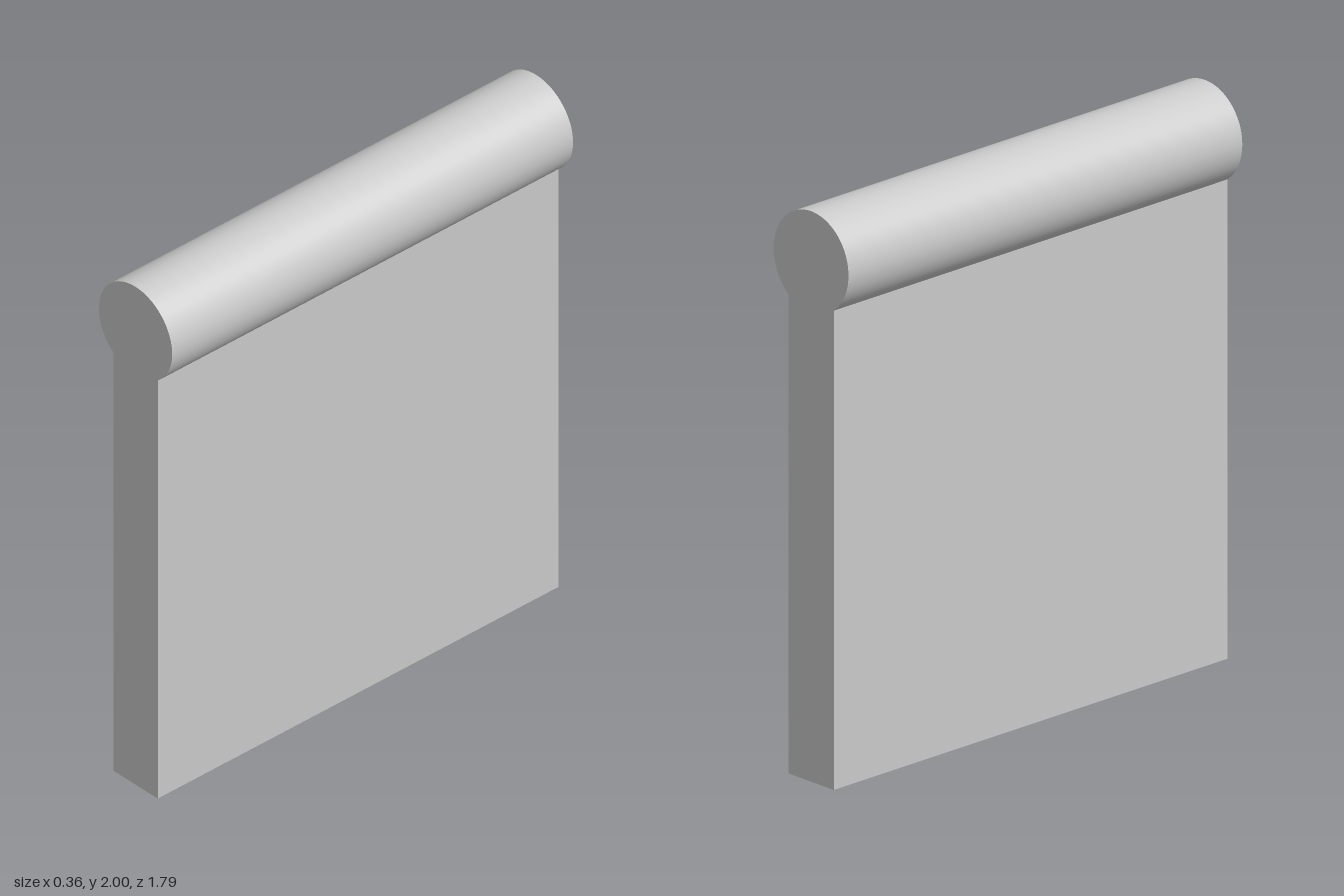
import * as THREE from 'three';

const HALF_WIDTH = 0.108; // panel
const RADIUS = 0.178; // rounded cap
const DEPTH = 1.786;
const CAP_Y = 2 - RADIUS;

export function createModel() {
  const group = new THREE.Group();
  group.name = 'cappedWall';

  // Keyhole cross-section: upright panel flowing into a round cap
  const angle = Math.acos(HALF_WIDTH / RADIUS);
  const profile = new THREE.Shape();
  profile.moveTo(-HALF_WIDTH, 0);
  profile.lineTo(HALF_WIDTH, 0);
  profile.absarc(0, CAP_Y, RADIUS, -angle, Math.PI + angle, false);
  profile.closePath();

  // One closed solid, swept from back to front
  const geometry = new THREE.ExtrudeGeometry(profile, {
    depth: DEPTH,
    bevelEnabled: false,
    curveSegments: 40,
  });
  geometry.translate(0, 0, -DEPTH / 2);

  const wall = new THREE.Mesh(geometry, new THREE.MeshStandardMaterial({ color: 0xcccccc, flatShading: true }));
  wall.name = 'wallWithRoundCap';
  group.add(wall);
  return group;
}
